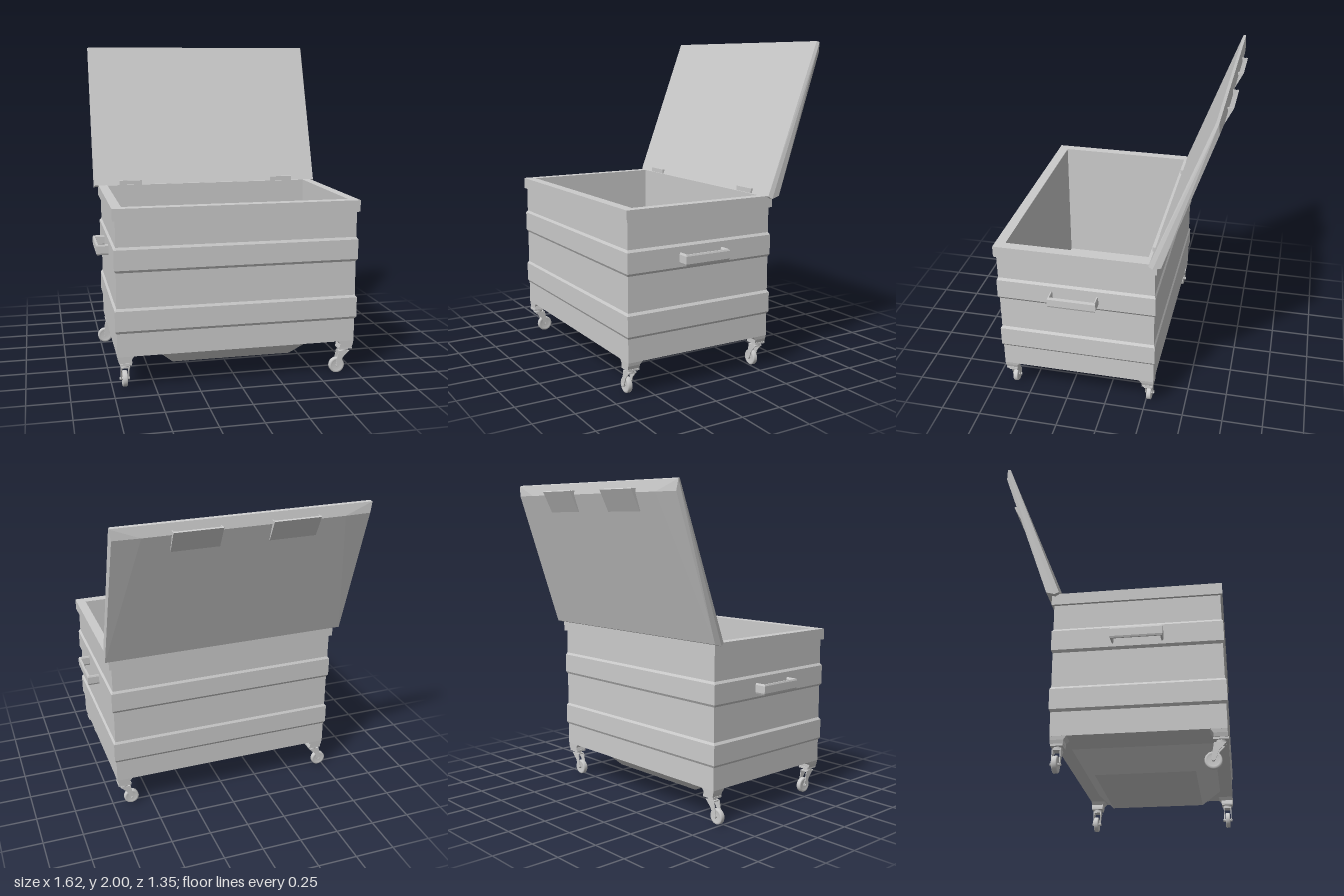
import * as THREE from 'three';
import { ConvexGeometry } from 'three/addons/geometries/ConvexGeometry.js';

const material = new THREE.MeshStandardMaterial({ color: 0xcccccc, side: THREE.DoubleSide });
const CZ = 0.175; // middle of the bin in z

function mesh(parent, name, geometry, x = 0, y = 0, z = 0) {
  const m = new THREE.Mesh(geometry, material);
  m.name = name;
  m.position.set(x, y, z);
  parent.add(m);
  return m;
}

// Rectangular rings [halfWidth, halfDepth, y, offsetX, offsetZ] joined by flat faces, capped at both ends
function loft(rings) {
  const pos = [];
  const corners = rings.map(([w, d, y, ox = 0, oz = 0]) =>
    [[1, 1], [1, -1], [-1, -1], [-1, 1]].map(([sx, sz]) => [ox + sx * w, y, oz + sz * d]));
  const quad = (a, b, c, d) => [a, b, c, a, c, d].forEach((p) => pos.push(...p));
  for (let i = 0; i + 1 < corners.length; i++) {
    for (let k = 0; k < 4; k++) {
      const n = (k + 1) % 4;
      quad(corners[i][k], corners[i][n], corners[i + 1][n], corners[i + 1][k]);
    }
  }
  const [a, b, c, d] = corners[0];
  quad(d, c, b, a);
  quad(...corners[corners.length - 1]);
  const g = new THREE.BufferGeometry();
  g.setAttribute('position', new THREE.Float32BufferAttribute(pos, 3));
  g.computeVertexNormals();
  return g;
}

function polygon(points) {
  return new THREE.Shape(points.map(([x, y]) => new THREE.Vector2(x, y)));
}

// Swivel caster: pivot at the origin, wheel trailing along +x
function caster() {
  const g = new THREE.Group();
  g.name = 'caster';
  mesh(g, 'swivelPlate', new THREE.BoxGeometry(0.085, 0.012, 0.07), 0, 0.163, 0);
  mesh(g, 'swivelBearing', new THREE.CylinderGeometry(0.026, 0.026, 0.02, 16), 0, 0.15, 0);
  mesh(g, 'forkBridge', new THREE.BoxGeometry(0.06, 0.008, 0.05), 0.005, 0.139, 0);
  const plate = new THREE.ExtrudeGeometry(
    polygon([[-0.03, 0.143], [0.038, 0.143], [0.056, 0.05], [0.045, 0.04], [0.033, 0.048], [0.012, 0.1]]),
    { depth: 0.005, bevelEnabled: false });
  for (const z of [-0.025, 0.02]) mesh(g, 'forkPlate', plate, 0, 0, z);
  const wheel = mesh(g, 'wheel', new THREE.LatheGeometry(
    [[0, -0.012], [0.03, -0.012], [0.034, -0.015], [0.044, -0.015], [0.048, -0.01],
      [0.048, 0.01], [0.044, 0.015], [0.034, 0.015], [0.03, 0.012], [0, 0.012]]
      .map(([x, y]) => new THREE.Vector2(x, y)), 28), 0.045, 0.049, 0);
  wheel.rotation.x = Math.PI / 2;
  const axle = mesh(g, 'axle', new THREE.CylinderGeometry(0.009, 0.009, 0.06, 12), 0.045, 0.049, 0);
  axle.rotation.x = Math.PI / 2;
  return g;
}

export function createModel() {
  const model = new THREE.Group();
  model.name = 'wheeledBin';

  // Hollow body with two raised bands and a rim
  const W = 0.725, D = 0.483;
  const rings = [[W, D, 0.21]];
  for (const y of [0.35, 0.71]) {
    rings.push([W, D, y], [W + 0.011, D + 0.008, y + 0.015],
      [W + 0.011, D + 0.008, y + 0.135], [W, D, y + 0.15]);
  }
  rings.push([W, D, 1.015], [0.742, 0.496, 1.015], [0.742, 0.496, 1.085],
    [0.683, 0.433, 1.085], [0.683, 0.433, 0.23]);
  mesh(model, 'body', loft(rings), 0, 0, CZ);

  // Sunken tray under the floor
  mesh(model, 'underTray', loft([[0.37, 0.29, 0.09], [0.49, 0.405, 0.212]]), 0, 0, CZ);

  // Corner legs and casters, each turned its own way
  const corners = [[1, 1, Math.PI], [1, -1, Math.PI], [-1, 1, Math.PI / 2], [-1, -1, Math.PI]];
  for (const [sx, sz, yaw] of corners) {
    mesh(model, 'cornerLeg', loft([
      [0.039, 0.037, 0.168, sx * 0.675, sz * 0.444],
      [0.04, 0.038, 0.19, sx * 0.681, sz * 0.444],
      [0.05, 0.048, 0.213, sx * 0.675, sz * 0.435]]), 0, 0, CZ);
    const c = caster();
    c.position.set(sx * 0.675, 0, CZ + sz * 0.444);
    c.rotation.y = yaw;
    model.add(c);
  }

  // U-shaped side handles
  const grip = new THREE.ExtrudeGeometry(polygon([
    [0.72, -0.145], [0.805, -0.145], [0.805, 0.145], [0.72, 0.145],
    [0.72, 0.138], [0.797, 0.138], [0.797, -0.138], [0.72, -0.138]]),
  { depth: 0.045, bevelThickness: 0.01, bevelSize: 0.004, bevelSegments: 1 });
  grip.rotateX(Math.PI / 2);
  mesh(model, 'leftHandle', grip, 0, 0.8, 0.18);
  mesh(model, 'rightHandle', grip, 0, 0.8, 0.18).rotation.z = Math.PI;
  model.getObjectByName('rightHandle').position.y = 0.755;

  // Open lid: flat inner face, sides flaring slightly, back tapering to the free edge
  const lid = new THREE.Group();
  lid.name = 'lid';
  model.add(lid);
  const lidPoints = [];
  for (const s of [-1, 1]) {
    for (const [x, y, z] of [[0.764, 1.085, -0.275], [0.764, 2, -0.617], [0.772, 1.07, -0.3],
      [0.772, 1.995, -0.633], [0.77, 1.085, -0.35], [0.76, 1.93, -0.638], [0.6, 1.93, -0.645]]) {
      lidPoints.push(new THREE.Vector3(s * x, y, z));
    }
  }
  mesh(lid, 'lidPanel', new ConvexGeometry(lidPoints));

  // Lid grips: slanted plate with triangular ends, open at the top
  const gripPlate = polygon([[0.605, 1.83], [0.668, 1.955], [0.677, 1.95], [0.614, 1.825]]);
  const gripEnd = polygon([[0.605, 1.83], [0.63, 1.955], [0.675, 1.95]]);
  const across = (shape, width) => new THREE.ExtrudeGeometry(shape, { depth: width, bevelEnabled: false })
    .rotateY(Math.PI / 2).translate(-width / 2, 0, 0);
  for (const s of [-1, 1]) {
    mesh(lid, 'lidGripPlate', across(gripPlate, 0.285), s * 0.29, 0, 0);
    for (const e of [-1, 1]) mesh(lid, 'lidGripEnd', across(gripEnd, 0.006), s * 0.29 + e * 0.139, 0, 0);
    // Hinge leaf between rim and lid
    mesh(model, 'hinge', new THREE.BoxGeometry(0.15, 0.04, 0.035), s * 0.525, 1.093, -0.285);
  }
  return model;
}
